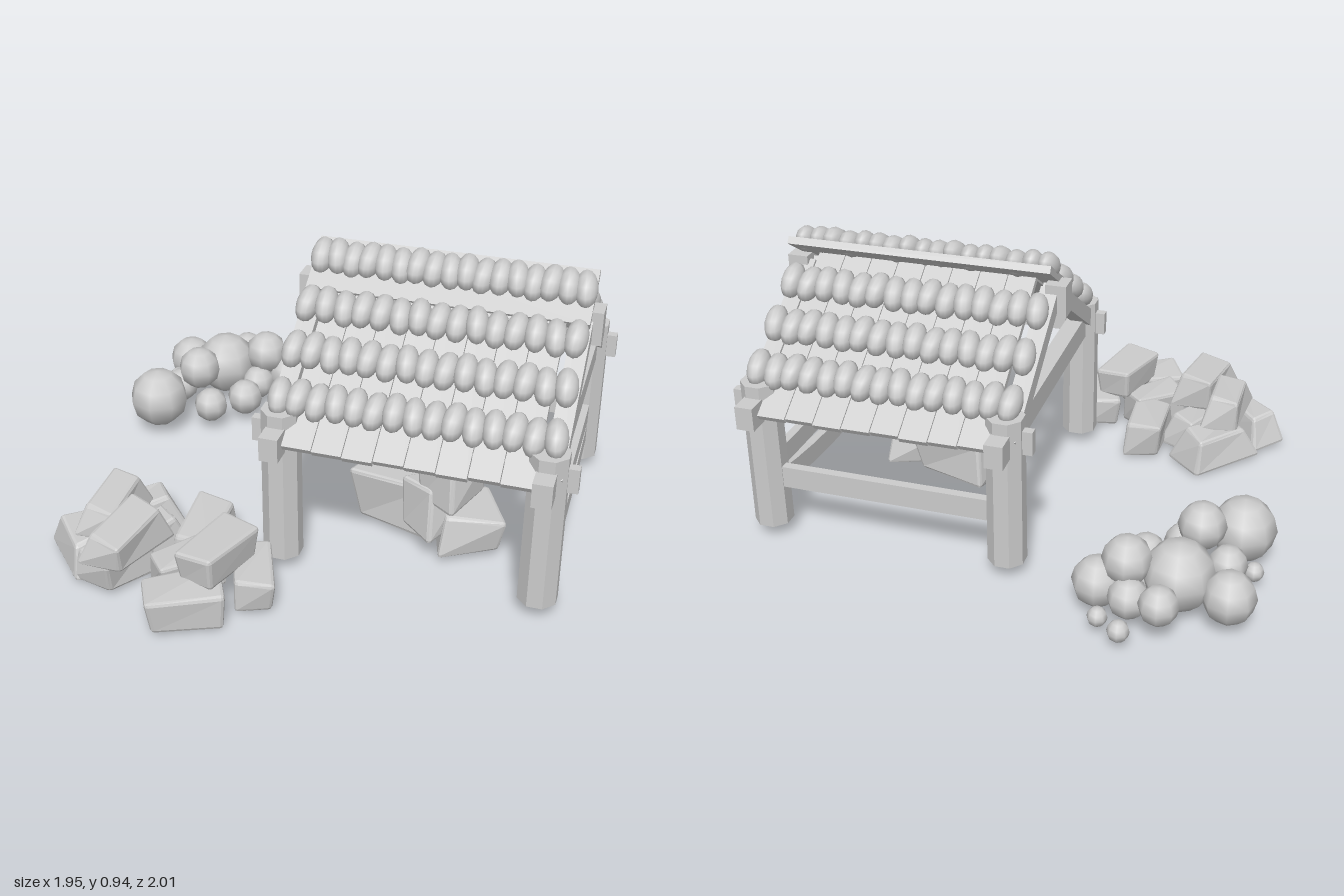
import * as THREE from 'three';
import { RoundedBoxGeometry } from 'three/addons/geometries/RoundedBoxGeometry.js';

const smooth = new THREE.MeshStandardMaterial({ color: 0xcccccc });
const flat = new THREE.MeshStandardMaterial({ color: 0xcccccc, flatShading: true });

function add(parent, name, geometry, x, y, z, material = flat) {
  const mesh = new THREE.Mesh(geometry, material);
  mesh.name = name;
  mesh.position.set(x, y, z);
  parent.add(mesh);
  return mesh;
}
const box = (parent, name, w, h, d, x, y, z) => add(parent, name, new THREE.BoxGeometry(w, h, d), x, y, z);

// Beam along x whose height follows a rule of t = -1..1
function bentBeam(length, h, d, rule) {
  const g = new THREE.BoxGeometry(length, h, d, 6, 1, 1);
  const p = g.attributes.position;
  for (let i = 0; i < p.count; i++) p.setY(i, p.getY(i) + rule(p.getX(i) / (length / 2)));
  return g;
}

// Chamfered block, skewed by a seeded amount at each corner
function rockGeometry(w, h, d, seed) {
  const g = new RoundedBoxGeometry(w, h, d, 1, 0.012);
  const p = g.attributes.position;
  const k = (n) => 0.13 * Math.sin(seed * 12.9 + n * 4.7);
  for (let i = 0; i < p.count; i++) {
    const a = p.getX(i) / w * 2, b = p.getY(i) / h * 2, c = p.getZ(i) / d * 2;
    p.setXYZ(i,
      w / 2 * (a + k(1) * b * a - 0.07 * b * a + k(2) * b * c),
      h / 2 * (b + k(3) * a * c + k(4) * b * a),
      d / 2 * (c + k(5) * b * c - 0.07 * b * c + k(6) * a * b));
  }
  return g;
}

const PITCH = 0.583, APEX = 0.836, SLOPE = Math.tan(PITCH);

function makeShelter() {
  const hut = new THREE.Group();
  hut.name = 'shelter';
  hut.position.set(0.25, 0, 0.31);
  hut.rotation.y = 0.698;

  // Posts with through tenons
  const postGeo = new THREE.CylinderGeometry(0.062, 0.064, 0.52, 8).rotateY(Math.PI / 8);
  for (const sx of [-1, 1]) for (const sz of [-1, 1]) {
    add(hut, 'post', postGeo, sx * 0.443, 0.31, sz * 0.41);
    box(hut, 'tenon', 0.03, 0.08, 0.06, sx * 0.443, 0.49, sz * 0.47);
  }

  // Tie beams, rafters and king posts on both gables
  const rafterLength = 0.47 / Math.cos(PITCH);
  for (const sz of [-1, 1]) {
    box(hut, 'tieBeam', 1.13, 0.08, 0.06, 0, 0.49, sz * 0.41);
    box(hut, 'kingPost', 0.075, 0.11, 0.07, 0, 0.775, sz * 0.45);
    for (const sx of [-1, 1]) {
      const rafter = box(hut, 'rafter', rafterLength, 0.055, 0.06, sx * 0.235, APEX - 0.045 - 0.235 * SLOPE, sz * 0.425);
      rafter.rotation.z = -sx * PITCH;
    }
  }
  // Eave plates along the sides
  for (const sx of [-1, 1]) box(hut, 'eavePlate', 0.06, 0.075, 0.82, sx * 0.443, 0.495, 0);

  // Railings on the front gable and one long side
  add(hut, 'upperRail', bentBeam(0.8, 0.07, 0.03, (t) => 0.008 * t * t), 0, 0.23, 0.42);
  add(hut, 'lowerRail', bentBeam(0.8, 0.07, 0.03, (t) => 0.03 * t * t + 0.02 * t), 0, 0.115, 0.42);
  box(hut, 'sideRail', 0.03, 0.075, 0.76, 0.45, 0.23, 0);

  // Roof planks, eight to a side, running down the slope
  const plankLength = 0.53 / Math.cos(PITCH);
  for (const sx of [-1, 1]) for (let i = 0; i < 8; i++) {
    const plank = box(hut, 'roofPlank', plankLength + 0.006 * (i % 3), 0.022, 0.0925,
      sx * 0.265, APEX - 0.265 * SLOPE, (i - 3.5) * 0.095);
    plank.rotation.z = -sx * PITCH;
  }
  // Ridge board carries the left slope past the apex
  const ridge = box(hut, 'ridgeBoard', 0.2, 0.025, 0.9, 0.01, APEX + 0.01 * SLOPE + 0.01, 0);
  ridge.rotation.z = PITCH;

  // Rows of rounded tiles; the ridge row follows the left slope
  const tileGeo = new THREE.SphereGeometry(1, 10, 8).rotateX(Math.PI / 2).scale(0.067, 0.044, 0.036);
  function tileRow(x, y, side, count) {
    for (let i = 0; i < count; i++) {
      const z = -0.42 + 0.84 * i / (count - 1);
      const tile = add(hut, 'roofTile', tileGeo, x, y + 0.004 * Math.sin(i * 2.3), z, smooth);
      tile.rotation.set(0, 0.12 * Math.sin(i * 1.7 + x * 9), -side * PITCH, 'ZYX');
    }
  }
  for (const sx of [-1, 1]) for (const x of [0.14, 0.28, 0.42]) tileRow(sx * x, APEX + 0.04 - x * SLOPE, sx, 15);
  tileRow(0.01, APEX + 0.05, -1, 17);
  return hut;
}

function makeRocks() {
  const rocks = new THREE.Group();
  rocks.name = 'rocks';
  // x, y, z, width, height, depth, turn
  const list = [
    // pile beside the shelter
    [-0.89, 0.075, -0.07, 0.12, 0.12, 0.21, -0.1],
    [-0.67, 0.07, -0.125, 0.24, 0.12, 0.14, -0.08],
    [-0.70, 0.07, 0.02, 0.2, 0.11, 0.12, 0.2],
    [-0.78, 0.18, -0.06, 0.24, 0.11, 0.12, 0.65],
    [-0.82, 0.18, 0.115, 0.25, 0.11, 0.14, 0.47],
    [-0.84, 0.07, 0.06, 0.2, 0.12, 0.16, 0.3],
    [-0.54, 0.075, 0.10, 0.24, 0.12, 0.13, 0.7],
    [-0.67, 0.075, 0.23, 0.21, 0.12, 0.12, -0.08],
    [-0.76, 0.07, 0.375, 0.23, 0.12, 0.15, -0.35],
    [-0.62, 0.175, 0.34, 0.24, 0.11, 0.13, 0.42],
    [-0.52, 0.07, 0.38, 0.12, 0.11, 0.22, -0.5],
    // stack under the roof
    [0.13, 0.12, 0.29, 0.24, 0.17, 0.28, 0.4],
    [0.21, 0.09, 0.51, 0.2, 0.13, 0.22, -0.5],
    [0.14, 0.3, 0.51, 0.17, 0.17, 0.15, 0.2],
    [0.11, 0.17, 0.46, 0.16, 0.16, 0.14, 0.1],
  ];
  list.forEach(([x, y, z, w, h, d, turn], i) => {
    add(rocks, 'rock', rockGeometry(w, h, d, i + 1), x, y, z).rotation.y = turn;
  });
  return rocks;
}

function makeBush() {
  const bush = new THREE.Group();
  bush.name = 'bush';
  // x, y, z, radius
  const list = [
    [-0.32, 0.14, -0.68, 0.108], [-0.06, 0.125, -0.915, 0.085], [0.016, 0.15, -0.77, 0.115],
    [-0.148, 0.215, -0.677, 0.078], [0.143, 0.2, -0.677, 0.08], [0.21, 0.115, -0.62, 0.082],
    [0.153, 0.14, -0.846, 0.063], [-0.016, 0.1, -0.57, 0.066], [-0.153, 0.1, -0.587, 0.063],
    [-0.18, 0.11, -0.77, 0.063], [0.085, 0.1, -0.645, 0.063], [0.18, 0.11, -0.735, 0.066],
    [0.264, 0.065, -0.8, 0.035], [0.275, 0.065, -0.71, 0.032], [-0.153, 0.1, -0.857, 0.032],
    [-0.265, 0.065, -0.8, 0.032],
  ];
  for (const [x, y, z, r] of list) add(bush, 'leafBall', new THREE.SphereGeometry(r, 8, 6), x, y, z, smooth);
  return bush;
}

export function createModel() {
  const model = new THREE.Group();
  model.name = 'woodShelterScene';
  model.add(makeShelter(), makeRocks(), makeBush());
  return model;
}
